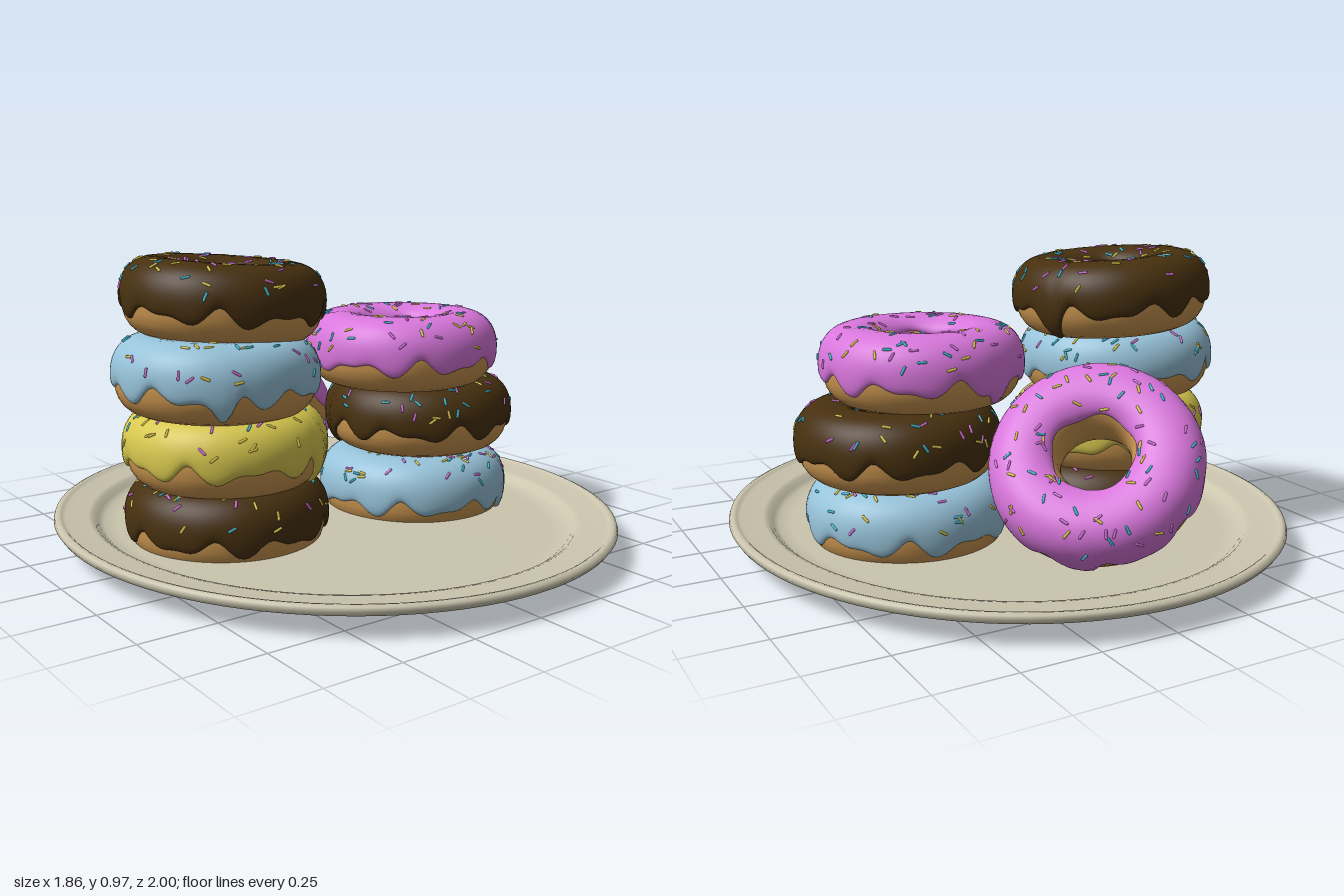
import * as THREE from 'three';
import { mergeGeometries } from 'three/addons/utils/BufferGeometryUtils.js';

const BROWN = 0x47300f, BLUE = 0x97c3da, YELLOW = 0xd8c84f, PINK = 0xd977dd;
const DOUGH = 0xcb9650, PLATE = 0xcbc5ae;
const SPRINKLES = [0x3fb4cc, 0xdcc84a, 0xd26fd8];

// Ring centre radius, half width and half height of the dough, icing thickness
const R = 0.218, A = 0.107, B = 0.12, ICING = 0.012;
const TAU = Math.PI * 2;

function seeded(seed) {
  let s = seed * 7919 + 17;
  return () => (s = (s * 16807) % 2147483647) / 2147483647;
}

const mat = (color, opts = {}) => new THREE.MeshStandardMaterial({ color, roughness: 0.7, ...opts });
const squash = (t) => Math.sign(t) * Math.abs(t) ** 0.87;

// Point on the slightly lumpy ring: u around the ring, v around the tube
function ringPoint(u, v, off, phase) {
  const lump = 1 + 0.012 * Math.sin(3 * u + phase) + 0.008 * Math.sin(5 * u + 2 * phase);
  const r = R + (A * lump + off) * squash(Math.cos(v));
  return new THREE.Vector3(r * Math.sin(u), (B + off) * squash(Math.sin(v)), r * Math.cos(u));
}

// Smooth grid closed in u; closed in v as well when wrapV is set
function gridGeometry(nu, nv, wrapV, point) {
  const pos = [], idx = [], rows = wrapV ? nv : nv + 1;
  for (let i = 0; i < nu; i++) {
    for (let j = 0; j < rows; j++) pos.push(...point((i / nu) * TAU, j / nv).toArray());
  }
  for (let i = 0; i < nu; i++) {
    for (let j = 0; j < nv; j++) {
      const a = i * rows + j, d = i * rows + ((j + 1) % rows);
      const b = ((i + 1) % nu) * rows + j, c = ((i + 1) % nu) * rows + ((j + 1) % rows);
      idx.push(a, b, c, a, c, d);
    }
  }
  const g = new THREE.BufferGeometry();
  g.setAttribute('position', new THREE.Float32BufferAttribute(pos, 3));
  g.setIndex(idx);
  g.computeVertexNormals();
  return g;
}

// Wavy outer edge of the icing, with one long drip
function icingEdge(u, phase, drip) {
  const d = Math.atan2(Math.sin(u - drip), Math.cos(u - drip));
  return -0.22 + 0.15 * Math.sin(9 * u + phase) + 0.1 * Math.sin(14 * u + 2.3 * phase)
    - 0.75 * Math.exp(-((d / 0.1) ** 2));
}

function makeSprinkles(phase, rand) {
  const sets = SPRINKLES.map(() => []);
  const base = new THREE.CapsuleGeometry(0.0045, 0.022, 2, 6);
  for (let k = 0; k < 84; k++) {
    const u = rand() * TAU, v = 0.15 + rand() * 2.1;
    const p = ringPoint(u, v, ICING, phase);
    const du = ringPoint(u + 0.01, v, ICING, phase).sub(p).normalize();
    const dv = ringPoint(u, v + 0.01, ICING, phase).sub(p).normalize();
    const a = rand() * TAU;
    const dir = du.multiplyScalar(Math.cos(a)).addScaledVector(dv, Math.sin(a)).normalize();
    const q = new THREE.Quaternion().setFromUnitVectors(new THREE.Vector3(0, 1, 0), dir);
    const m = new THREE.Matrix4().compose(p, q, new THREE.Vector3(1, 1, 1));
    sets[k % 3].push(base.clone().applyMatrix4(m));
  }
  const group = new THREE.Group();
  group.name = 'sprinkles';
  sets.forEach((list, i) => {
    const mesh = new THREE.Mesh(mergeGeometries(list), mat(SPRINKLES[i]));
    mesh.name = 'sprinkleSet' + (i + 1);
    group.add(mesh);
  });
  return group;
}

function makeDonut(name, color, seed, drip) {
  const phase = seed * 1.7, rand = seeded(seed);
  const donut = new THREE.Group();
  donut.name = name;

  const dough = new THREE.Mesh(
    gridGeometry(56, 24, true, (u, t) => ringPoint(u, t * TAU, 0, phase)), mat(DOUGH));
  dough.name = 'dough';

  // Icing shell: thick in the middle, rounding down into the dough at both edges
  const icing = new THREE.Mesh(
    gridGeometry(132, 26, false, (u, t) => {
      const s = 0.5 - 0.5 * Math.cos(t * Math.PI);
      const inner = 2.5 + 0.08 * Math.sin(5 * u + phase);
      const v = THREE.MathUtils.lerp(icingEdge(u, phase, drip), inner, s);
      const round = Math.sqrt(Math.max(0, 1 - Math.abs(2 * s - 1) ** 12));
      return ringPoint(u, v, -0.003 + (ICING + 0.003) * round, phase);
    }), mat(color, { side: THREE.DoubleSide }));
  icing.name = 'icing';

  donut.add(dough, icing, makeSprinkles(phase, rand));
  return donut;
}

function makePlate() {
  const profile = [
    [0, 0.03], [0.84, 0.03], [0.865, 0.034], [0.88, 0.046], [0.89, 0.06], [0.97, 0.063], [0.99, 0.069],
    [1, 0.083], [0.996, 0.095], [0.984, 0.1], [0.972, 0.097], [0.96, 0.089], [0.88, 0.085],
    [0.86, 0.08], [0.845, 0.065], [0.825, 0.054], [0.78, 0.05], [0, 0.05],
  ].map(([r, y]) => new THREE.Vector2(r, y));
  const plate = new THREE.Mesh(new THREE.LatheGeometry(profile, 96), mat(PLATE));
  plate.name = 'plate';
  plate.scale.x = 0.93;
  return plate;
}

export function createModel() {
  const model = new THREE.Group();
  model.name = 'donutPlate';
  model.add(makePlate());

  // name, colour, position, tilt about x and z, drip direction (x, z)
  const stacked = [
    ['leftStackDonut1', BROWN, [-0.388, 0.12, -0.05], [0, 0], [-0.16, -0.98]],
    ['leftStackDonut2', YELLOW, [-0.39, 0.35, -0.05], [0, 0], [0.57, 0.82]],
    ['leftStackDonut3', BLUE, [-0.425, 0.585, -0.045], [0, -0.03], [-0.43, 0.9]],
    ['leftStackDonut4', BROWN, [-0.365, 0.818, -0.093], [0.02, -0.06], [0.94, -0.33]],
    ['rightStackDonut1', BLUE, [0.365, 0.122, 0], [0, 0], [0.57, 0.82]],
    ['rightStackDonut2', BROWN, [0.398, 0.375, -0.012], [0, 0], [-0.9, -0.4]],
    ['rightStackDonut3', PINK, [0.305, 0.615, 0], [0, 0], [-0.41, -0.91]],
  ];
  stacked.forEach(([name, color, pos, tilt, drip], i) => {
    const donut = makeDonut(name, color, i + 1, Math.atan2(drip[0], drip[1]));
    donut.position.set(...pos);
    donut.rotation.set(tilt[0], 0, tilt[1]);
    model.add(donut);
  });

  // Donut leaning against the stacks at the back
  const leaning = makeDonut('leaningDonut', PINK, 9, 2.4);
  leaning.position.set(-0.055, 0.345, -0.495);
  leaning.quaternion.setFromUnitVectors(
    new THREE.Vector3(0, 1, 0), new THREE.Vector3(0.5, 0.67, -0.54).normalize());
  model.add(leaning);
  return model;
}
